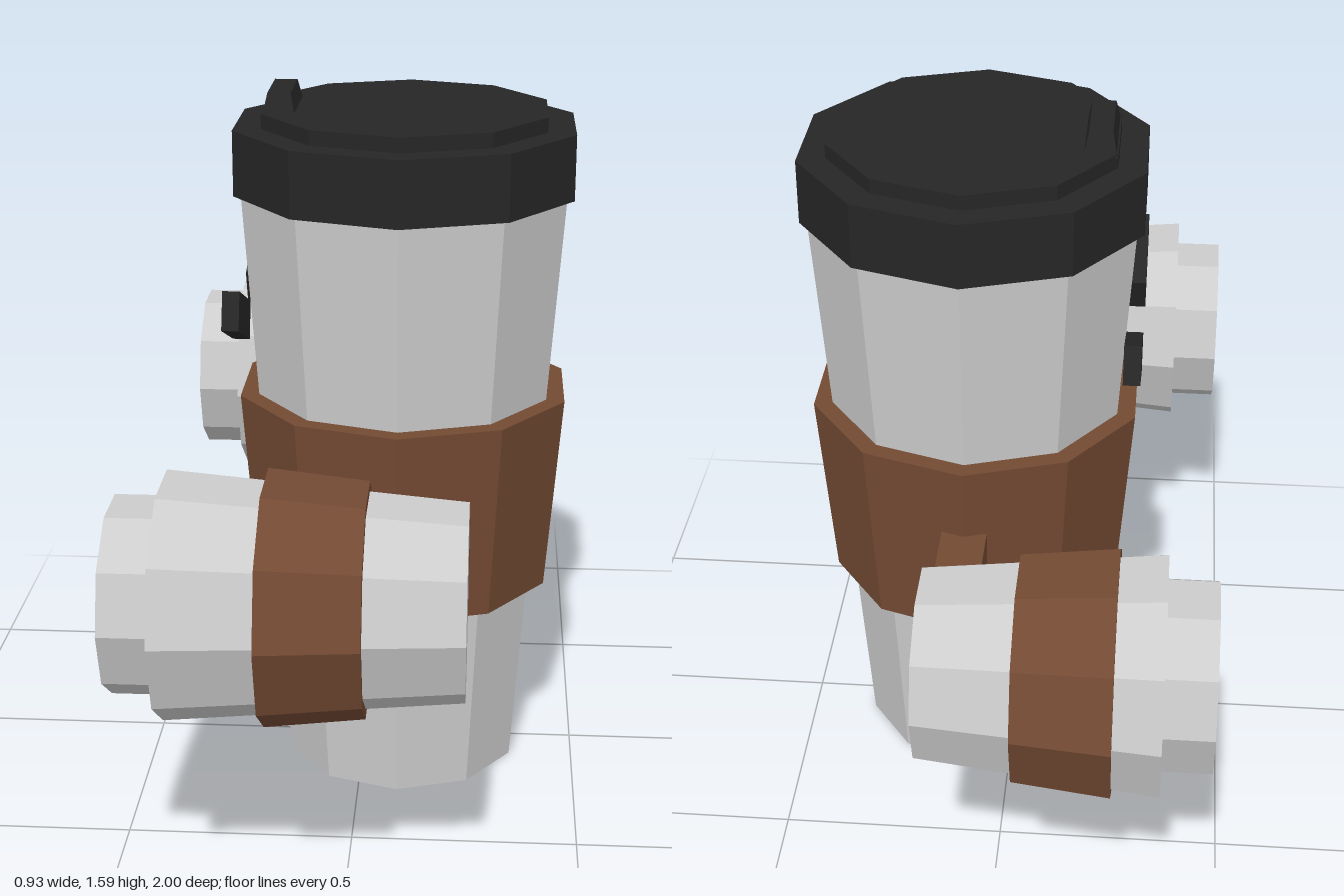
import * as THREE from 'three';

const SIDES = 10;
const makeMaterial = (color) => new THREE.MeshStandardMaterial({ color, flatShading: true });

export function createModel() {
  const model = new THREE.Group();
  model.name = 'cupWithSideBarrels';
  const grey = makeMaterial(0xcccccc);
  const brown = makeMaterial(0x734a33);
  const black = makeMaterial(0x262626);

  const add = (parent, name, geometry, material, x = 0, y = 0, z = 0) => {
    const mesh = new THREE.Mesh(geometry, material);
    mesh.name = name;
    mesh.position.set(x, y, z);
    parent.add(mesh);
    return mesh;
  };
  // Ten-sided tapered drum between two heights
  const drum = (parent, name, material, y0, y1, r0, r1) =>
    add(parent, name, new THREE.CylinderGeometry(r1, r0, y1 - y0, SIDES), material, 0, (y0 + y1) / 2, 0);

  // Cup with sleeve and lid
  const cup = new THREE.Group();
  cup.name = 'cup';
  cup.position.set(0.09, 0, 0.01);
  model.add(cup);
  drum(cup, 'cupBody', grey, 0, 1.38, 0.275, 0.374);
  drum(cup, 'sleeve', brown, 0.46, 0.91, 0.347, 0.383);
  drum(cup, 'lidRim', black, 1.37, 1.515, 0.39, 0.39);
  drum(cup, 'lidTop', black, 1.51, 1.548, 0.326, 0.326);

  // Raised drinking tab, narrower at its top
  const tab = new THREE.BoxGeometry(0.072, 0.05, 0.21);
  const p = tab.attributes.position;
  for (let i = 0; i < p.count; i++) {
    if (p.getY(i) > 0) p.setXYZ(i, p.getX(i) * 0.7, p.getY(i), p.getZ(i) * 0.78);
  }
  add(model, 'lidTab', tab, black, -0.182, 1.565, 0.005);

  // Floating slanted brows, inner ends lower
  for (const s of [1, -1]) {
    const brow = add(model, s > 0 ? 'frontBrow' : 'backBrow',
      new THREE.BoxGeometry(0.037, 0.085, 0.21), black, -0.267, 1.13, 0.007 + s * 0.226);
    brow.rotation.x = -s * 0.384;
  }

  // Barrel along x: local +y is the muzzle end, pointing to -x
  const addBarrel = (name, z, endX, bandX0, bandX1) => {
    const barrel = new THREE.Group();
    barrel.name = name;
    barrel.position.set(0, 0.693, z);
    barrel.rotation.z = Math.PI / 2;
    model.add(barrel);
    const profile = [
      [0, -endX], [0.202, -endX], [0.254, 0.36], [0.202, 0.36],
      [0.202, 0.465], [0.12, 0.465], [0.12, 0.27], [0, 0.27],
    ].map(([r, y]) => new THREE.Vector2(r, y));
    add(barrel, 'barrelBody', new THREE.LatheGeometry(profile, SIDES), grey);
    drum(barrel, 'barrelBand', brown, -bandX1, -bandX0, 0.24, 0.262);
  };
  addBarrel('frontBarrel', 0.736, 0.25, -0.155, 0.05);
  addBarrel('backBarrel', -0.736, 0.14, -0.262, -0.06);

  // Arms joining the barrels to the sleeve
  add(model, 'frontArm', new THREE.BoxGeometry(0.32, 0.11, 0.27), brown, 0.09, 0.685, 0.415);
  add(model, 'backArm', new THREE.BoxGeometry(0.1, 0.11, 0.25), brown, 0.09, 0.685, -0.425);

  return model;
}
